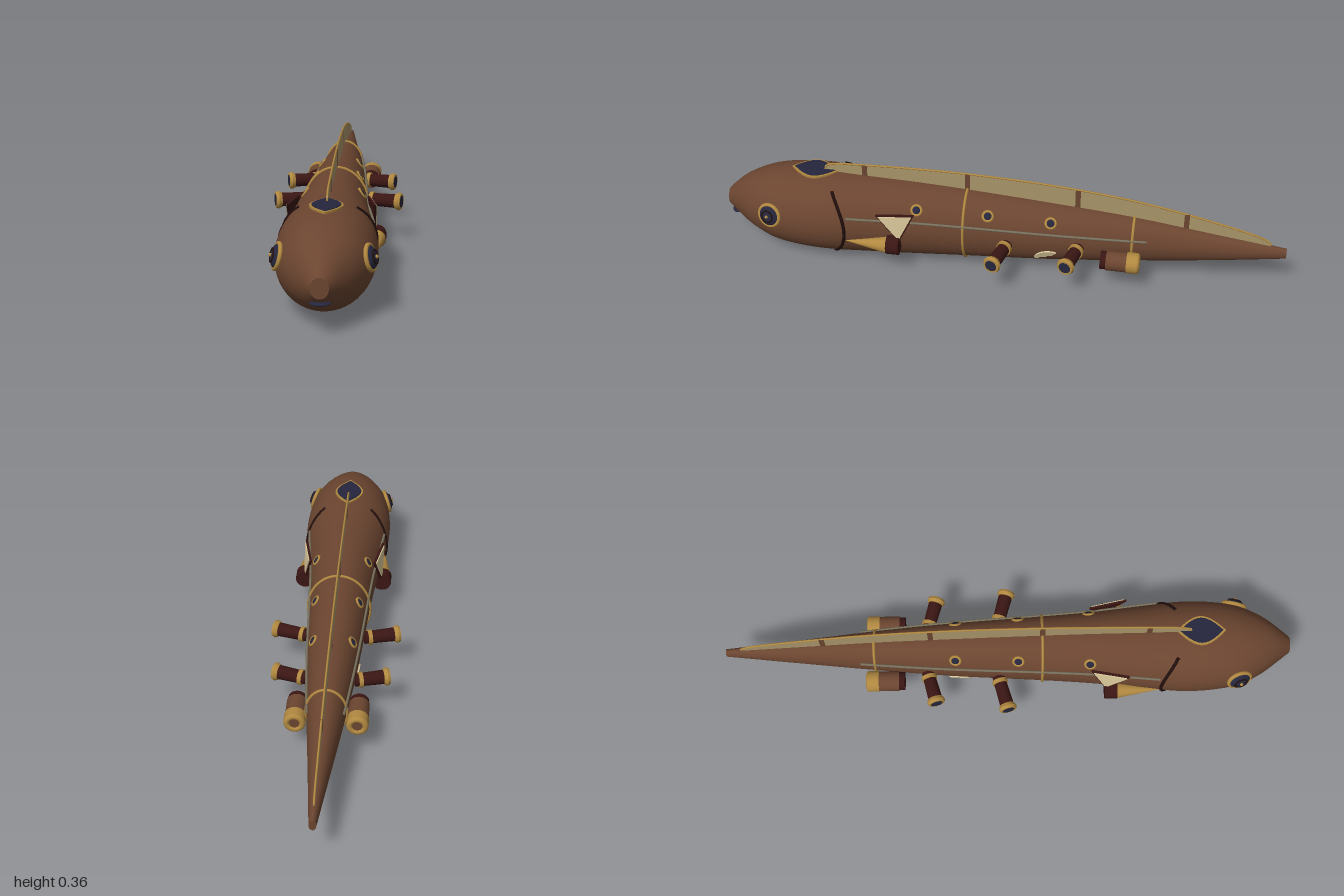
import * as THREE from 'three';
import { ConvexGeometry } from 'three/addons/geometries/ConvexGeometry.js';

const V = (x, y, z) => new THREE.Vector3(x, y, z);
const mat = (name, color, side = THREE.FrontSide) => {
  const m = new THREE.MeshStandardMaterial({ color, side });
  m.name = name;
  return m;
};

// Hull stations: z, centre y, half width, half height
const stations = [
  [1, .157, .028, .033], [.95, .161, .066, .077], [.9, .162, .102, .106], [.82, .16, .14, .136],
  [.72, .159, .157, .151], [.62, .158, .16, .155], [.5, .157, .148, .152], [.3, .157, .124, .147],
  [.12, .158, .11, .137], [-.2, .158, .09, .115], [-.47, .16, .066, .09], [-.75, .158, .037, .055],
  [-1, .16, .012, .02],
];
// Smooth hull section at any z
function section(z) {
  let i = 0;
  while (i < stations.length - 2 && z < stations[i + 1][0]) i++;
  const at = k => stations[Math.min(stations.length - 1, Math.max(0, k))];
  const [p, a, b, q] = [at(i - 1), at(i), at(i + 1), at(i + 2)];
  const d = b[0] - a[0], t = (z - a[0]) / d;
  return [1, 2, 3].map(k => {
    const ma = (b[k] - p[k]) / (b[0] - p[0]) * d, mb = (q[k] - a[k]) / (q[0] - a[0]) * d;
    return (2 * t ** 3 - 3 * t * t + 1) * a[k] + (t ** 3 - 2 * t * t + t) * ma
      + (3 * t * t - 2 * t ** 3) * b[k] + (t ** 3 - t * t) * mb;
  });
}
function hullPoint(z, angle, off = 0) {
  const [cy, rx, ry] = section(z);
  return V((rx + off) * Math.cos(angle), cy + (ry + off) * Math.sin(angle), z);
}
function angleAt(z, y) {
  const [cy, , ry] = section(z);
  return Math.asin(Math.max(-1, Math.min(1, (y - cy) / ry)));
}
const sidePoint = (z, y, off) => hullPoint(z, angleAt(z, y), off);
function hullNormal(z, y) {
  const a = angleAt(z, y), e = .005;
  const around = hullPoint(z, a + e).sub(hullPoint(z, a - e));
  const along = hullPoint(z + e, a).sub(hullPoint(z - e, a));
  return around.cross(along).normalize();
}

function hullGeometry() {
  const n = 48, m = 80, pos = [], idx = [];
  for (let i = 0; i <= m; i++)
    for (let j = 0; j < n; j++) pos.push(...hullPoint(1 - 2 * i / m, j / n * Math.PI * 2).toArray());
  for (let i = 0; i < m; i++)
    for (let j = 0; j < n; j++) {
      const a = i * n + j, b = i * n + (j + 1) % n;
      idx.push(a, a + n, b, b, a + n, b + n);
    }
  const g = new THREE.BufferGeometry();
  g.setAttribute('position', new THREE.Float32BufferAttribute(pos, 3));
  g.setIndex(idx);
  g.computeVertexNormals();
  return g;
}

export function createModel() {
  const brown = mat('hullBrown', 0x6b4530), brass = mat('brass', 0xb08840), navy = mat('navyGlass', 0x25263c);
  const maroon = mat('darkMaroon', 0x3a1614), black = mat('gillBlack', 0x200e0c);
  const sail = mat('sailTan', 0xa8956a, THREE.DoubleSide), cream = mat('cream', 0xd8c698, THREE.DoubleSide);
  const grey = mat('cableGrey', 0x77705c);
  const model = new THREE.Group();

  const add = (parent, name, geo, material, x = 0, y = 0, z = 0) => {
    const mesh = new THREE.Mesh(geo, material);
    mesh.name = name;
    mesh.position.set(x, y, z);
    parent.add(mesh);
    return mesh;
  };
  const tube = (pts, r, closed = false, seg = 64) =>
    new THREE.TubeGeometry(new THREE.CatmullRomCurve3(pts, closed), seg, r, 8, closed);
  // Group whose given axis points along dir
  const oriented = (parent, name, p, axis, dir) => {
    const g = new THREE.Group();
    g.name = name;
    g.position.copy(p);
    g.quaternion.setFromUnitVectors(axis, dir.clone().normalize());
    parent.add(g);
    return g;
  };

  // Hull with end caps and brass hoops
  add(model, 'hull', hullGeometry(), brown);
  for (const [z, flip] of [[1, 0], [-1, Math.PI]]) {
    const [cy, rx, ry] = section(z);
    const cap = add(model, z > 0 ? 'noseCap' : 'tailCap', new THREE.CircleGeometry(1, 48), brown, 0, cy, z);
    cap.scale.set(rx, ry, 1);
    cap.rotation.y = flip;
  }
  for (const z of [.12, -.47]) {
    const pts = Array.from({ length: 32 }, (_, i) => hullPoint(z, i / 32 * Math.PI * 2, .002));
    add(model, 'hoop', tube(pts, .005, true, 96), brass);
  }

  // Dorsal sail, brass rim and ribs
  const crest = [[.635, .332], [.6, .346], [.5, .353], [.3, .36], [.1, .361], [-.2, .348], [-.5, .314],
    [-.8, .25], [-.92, .214], [-.945, .196]];
  const curve = new THREE.CatmullRomCurve3(crest.map(([z, y]) => V(0, y, z)));
  const top = curve.getPoints(60);
  const shape = new THREE.Shape();
  shape.moveTo(.635, .29);
  top.forEach(p => shape.lineTo(p.z, p.y));
  for (let z = -.94; z < .63; z += .08) shape.lineTo(z, section(z)[0]);
  const sailGeo = new THREE.ExtrudeGeometry(shape, { depth: .005, bevelEnabled: false });
  sailGeo.rotateY(-Math.PI / 2).translate(.0025, 0, 0);
  add(model, 'dorsalSail', sailGeo, sail);
  add(model, 'sailRim', tube([V(0, .29, .635), ...crest.map(([z, y]) => V(0, y - .002, z))], .0035), brass);
  for (const z of [.49, .12, -.27, -.65]) {
    const y1 = top.reduce((b, p) => Math.abs(p.z - z) < Math.abs(b.z - z) ? p : b).y - .002;
    const y0 = section(z)[0] + section(z)[2] - .02;
    add(model, 'sailRib', new THREE.BoxGeometry(.008, y1 - y0, .018), brown, 0, (y0 + y1) / 2, z);
  }

  // Pointed skylight on the crown
  const lens = (w, l) => {
    const s = new THREE.Shape();
    s.moveTo(0, -l);
    s.bezierCurveTo(w * .5, -l * .7, w, -l * .35, w, 0);
    s.bezierCurveTo(w, l * .35, w * .5, l * .7, 0, l);
    s.bezierCurveTo(-w * .5, l * .7, -w, l * .35, -w, 0);
    s.bezierCurveTo(-w, -l * .35, -w * .5, -l * .7, 0, -l);
    return s;
  };
  const plate = (w, l, d) => new THREE.ExtrudeGeometry(lens(w, l), { depth: d, bevelEnabled: false }).rotateX(-Math.PI / 2);
  add(model, 'skylightFrame', plate(.053, .085, .007), brass, 0, .31, .67);
  add(model, 'skylightGlass', plate(.046, .075, .004), navy, 0, .3155, .67);

  // Chin slot
  add(model, 'mouth', new THREE.SphereGeometry(1, 24, 12), navy, 0, .104, .973).scale.set(.033, .007, .025);

  // Everything that repeats on both sides
  const side = new THREE.Group();
  side.name = 'leftSide';

  // Eye
  const eye = oriented(side, 'eye', sidePoint(.81, .193, .002), V(0, 0, 1), hullNormal(.81, .193));
  add(eye, 'eyeRing', new THREE.TorusGeometry(.039, .007, 10, 40), brass);
  add(eye, 'eyeGlass', new THREE.SphereGeometry(.038, 32, 16), navy).scale.z = .5;
  add(eye, 'eyeInnerRing', new THREE.TorusGeometry(.021, .003, 8, 32), black, 0, 0, .016);
  add(eye, 'eyeStud', new THREE.SphereGeometry(.006, 12, 8), brass, 0, 0, .02);

  // Gill slit and side cable
  const gill = Array.from({ length: 17 }, (_, i) => {
    const t = i / 8 - 1;
    return sidePoint(.537 + .053 * t * t, .161 + t * .126, 0);
  });
  add(side, 'gill', tube(gill, .006), black);
  const cable = Array.from({ length: 22 }, (_, i) => sidePoint(.53 - i * .05, .214 - i * .0012, .003));
  add(side, 'cable', tube(cable, .0045, false, 90), grey);

  // Portholes
  for (const [z, y] of [[.285, .25], [.035, .245], [-.185, .235]]) {
    const p = oriented(side, 'porthole', sidePoint(z, y, 0), V(0, 0, 1), hullNormal(z, y));
    add(p, 'portholeRing', new THREE.TorusGeometry(.017, .005, 8, 28), brass);
    add(p, 'portholeGlass', new THREE.SphereGeometry(.016, 20, 12), navy).scale.z = .4;
  }

  // Triangular pectoral fin on a dark backing
  const tri = [V(.146, .244, .415), V(.122, .24, .295), V(.143, .145, .342)];
  const mid = V(0, 0, 0).add(tri[0]).add(tri[1]).add(tri[2]).divideScalar(3);
  const slab = (k, x0, x1) => new ConvexGeometry(tri.flatMap(p => [x0, x1].map(dx => {
    const q = p.clone().sub(mid).multiplyScalar(k).add(mid);
    q.x += dx;
    return q;
  })));
  add(side, 'finBacking', slab(1.1, -.008, 0), maroon);
  add(side, 'pectoralFin', slab(.95, 0, .004), cream);

  // Forward spike
  add(side, 'spike', new THREE.ConeGeometry(.03, .155, 28).rotateX(Math.PI / 2), brass, .147, .123, .462);
  add(side, 'spikeBase', new THREE.CylinderGeometry(.034, .034, .045, 28).rotateX(Math.PI / 2), maroon, .145, .125, .362);

  // Outrigger telescopes
  for (const [z, y, x, len] of [[-.035, .144, .1, .125], [-.285, .15, .082, .117]]) {
    const g = oriented(side, 'telescope', V(x, y, z), V(0, 1, 0), V(.125, 0, .034));
    const cyl = (name, r0, r1, h, at, m) => add(g, name, new THREE.CylinderGeometry(r1, r0, h, 28), m, 0, at, 0);
    cyl('barrel', .022, .025, len, len / 2, maroon);
    cyl('baseCollar', .027, .027, .014, .02, brass);
    cyl('rim', .027, .032, .012, len - .012, brass);
    cyl('rimFront', .032, .028, .009, len - .0015, brass);
    cyl('lens', .021, .021, .004, len + .002, navy);
  }

  // Rear engine pod
  const pod = new THREE.Group();
  pod.name = 'enginePod';
  pod.position.set(.104, .128, 0);
  const drum = (name, r, h, z, m) =>
    add(pod, name, new THREE.CylinderGeometry(r, r, h, 32).rotateX(Math.PI / 2), m, 0, 0, z);
  drum('podFront', .032, .03, -.382, maroon);
  drum('podBody', .035, .075, -.425, brown);
  drum('podCollar', .037, .035, -.476, brass);
  add(pod, 'podLip', new THREE.TorusGeometry(.026, .011, 12, 32), brass, 0, 0, -.493);
  drum('podNozzle', .02, .01, -.494, brown);
  side.add(pod);

  // Small scalloped belly fin
  const fan = new THREE.Shape();
  fan.moveTo(-.043, -.008);
  fan.quadraticCurveTo(-.03, .014, 0, .016);
  fan.quadraticCurveTo(.03, .014, .043, -.002);
  for (const [x, y] of [[.03, -.008], [.022, -.013], [.008, -.009], [-.004, -.015], [-.018, -.009], [-.03, -.014]]) fan.lineTo(x, y);
  const belly = oriented(side, 'bellyFin', sidePoint(-.168, .11, 0), V(0, 0, 1), hullNormal(-.168, .11));
  add(belly, 'bellyFinPlate', new THREE.ExtrudeGeometry(fan, { depth: .005, bevelEnabled: false }), cream);

  const other = side.clone();
  other.name = 'rightSide';
  other.scale.x = -1;
  model.add(side, other);
  return model;
}
